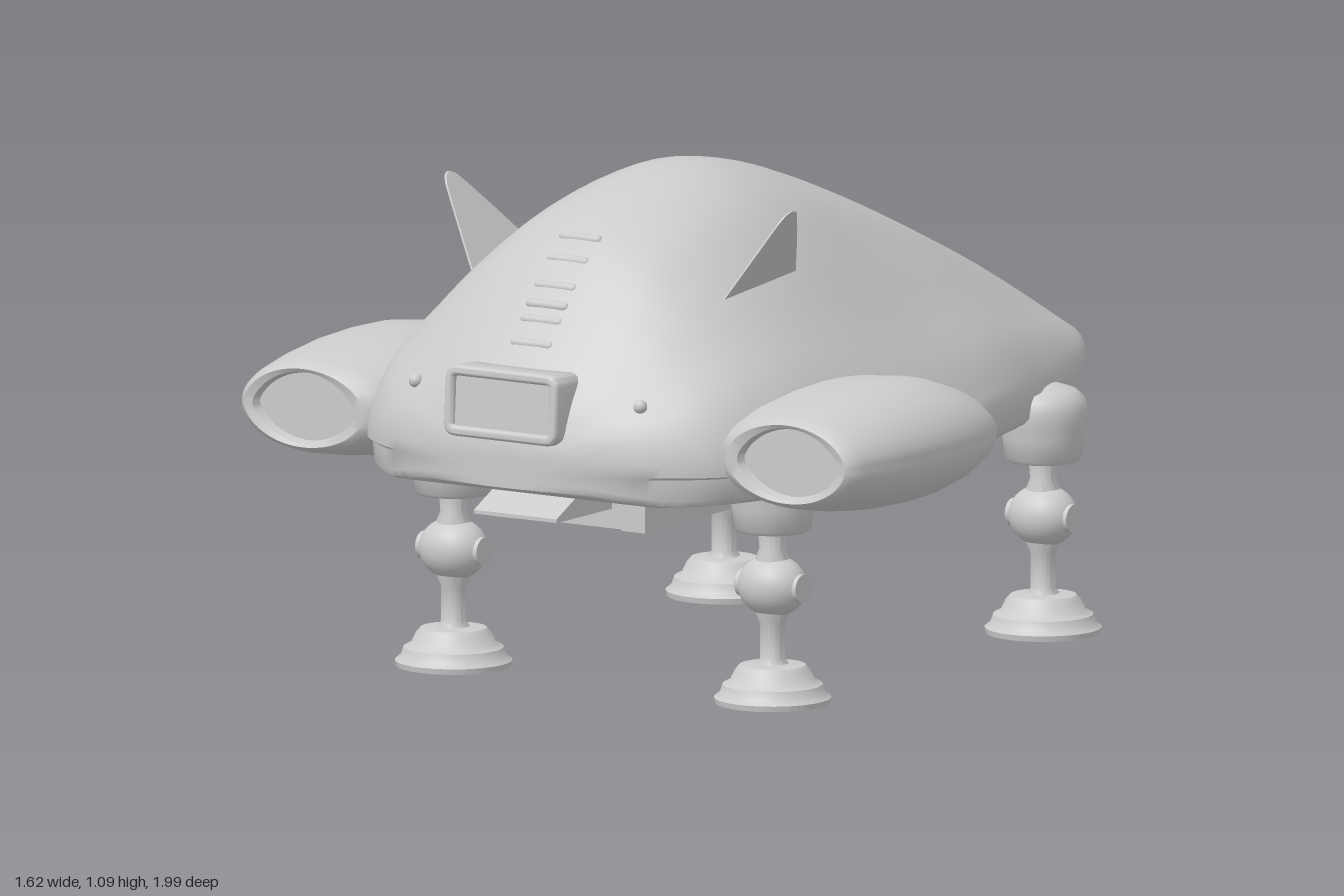
import * as THREE from 'three';
import { toCreasedNormals } from 'three/addons/utils/BufferGeometryUtils.js';

const { smoothstep } = THREE.MathUtils;
const grey = new THREE.MeshStandardMaterial({ color: 0xcccccc });
const thin = new THREE.MeshStandardMaterial({ color: 0xcccccc, side: THREE.DoubleSide });

function add(parent, name, geometry, x = 0, y = 0, z = 0, material = grey) {
  const mesh = new THREE.Mesh(geometry, material);
  mesh.name = name;
  mesh.position.set(x, y, z);
  parent.add(mesh);
  return mesh;
}

// Skin over closed counter-clockwise loops ordered along +z, capped at both ends
function loft(loops, crease = 0.7) {
  const n = loops[0].length, pos = [], idx = [];
  loops.forEach(loop => loop.forEach(p => pos.push(...p)));
  for (let i = 0; i < loops.length - 1; i++) {
    for (let j = 0; j < n; j++) {
      const a = i * n + j, b = i * n + (j + 1) % n;
      idx.push(a, b, a + n, b, b + n, a + n);
    }
  }
  for (const end of [0, loops.length - 1]) {
    const centre = pos.length / 3, mid = [0, 0, 0];
    loops[end].forEach(p => p.forEach((v, k) => { mid[k] += v / n; }));
    pos.push(...mid);
    for (let j = 0; j < n; j++) {
      const a = end * n + j, b = end * n + (j + 1) % n;
      if (end) idx.push(centre, a, b); else idx.push(centre, b, a);
    }
  }
  const g = new THREE.BufferGeometry();
  g.setAttribute('position', new THREE.Float32BufferAttribute(pos, 3));
  g.setIndex(idx);
  return toCreasedNormals(g, crease);
}

// Hull outline: half width, roof height, z
const hullLine = new THREE.CatmullRomCurve3([
  [0.08, 0.56, -1], [0.15, 0.585, -0.96], [0.21, 0.615, -0.9], [0.285, 0.67, -0.8],
  [0.375, 0.77, -0.6], [0.44, 0.86, -0.4], [0.495, 0.945, -0.2], [0.535, 1.02, 0],
  [0.558, 1.067, 0.16], [0.565, 1.085, 0.3], [0.56, 1.067, 0.45], [0.54, 1.02, 0.6],
  [0.51, 0.965, 0.7], [0.47, 0.875, 0.79], [0.42, 0.80, 0.85], [0.33, 0.725, 0.91],
  [0.24, 0.67, 0.945], [0.14, 0.61, 0.97], [0.05, 0.57, 0.98],
].map(p => new THREE.Vector3(...p)));

// Bell-shaped upper section from rim to rim: fraction of width, fraction of height
const bellSide = [[0.98, 0.025], [0.88, 0.2], [0.71, 0.42], [0.54, 0.65], [0.36, 0.855], [0.17, 0.97]];
const bell = new THREE.SplineCurve(
  [...bellSide, [0, 1], ...bellSide.slice().reverse().map(([u, v]) => [-u, v])].map(p => new THREE.Vector2(...p)),
).getPoints(48);

function hullGeometry() {
  const loops = hullLine.getPoints(90).map(({ x: w, y: top, z }) => {
    const low = 0.456 + 0.045 * smoothstep(-z, 0.75, 1) + 0.025 * smoothstep(z, 0.88, 0.98);
    // sections grow rounder towards nose and tail
    const fullness = 1 - 0.38 * smoothstep(z, 0.15, 0.85) - 0.25 * smoothstep(-z, -0.15, 0.4);
    const rim = [[0.45, low], [0.88, low], [0.935, low + 0.004], [0.96, low + 0.016],
      [0.97, 0.518], [0.998, 0.523], [1, 0.546]];
    return [
      ...rim,
      ...bell.map(p => [p.x, 0.55 + p.y ** fullness * (top - 0.55)]),
      ...rim.reverse().map(([u, y]) => [-u, y]),
    ].map(([u, y]) => [u * w, y, z]);
  });
  return loft(loops);
}

// Pod sections: z, half width, half height, how pointed the sides are, how far the inner side swells
function podGeometry(s) {
  return loft([
    [0.2, 0.08, 0.025, 0, 0], [0.205, 0.105, 0.045, 0, 0.1], [0.225, 0.135, 0.068, 0, 0.2],
    [0.27, 0.162, 0.095, 0, 0.25], [0.34, 0.182, 0.118, 0, 0.25], [0.42, 0.193, 0.13, 0, 0.25],
    [0.5, 0.196, 0.132, 0, 0.25], [0.6, 0.193, 0.128, 0, 0.22], [0.7, 0.184, 0.116, 0, 0.18],
    [0.78, 0.17, 0.101, 0, 0.12], [0.81, 0.16, 0.092, 0, 0.08], [0.82, 0.148, 0.084, 0.1, 0.04],
    [0.815, 0.13, 0.077, 0.35, 0], [0.795, 0.124, 0.072, 0.35, 0],
  ].map(([z, rx, ry, point, swell]) => Array.from({ length: 48 }, (_, i) => {
    const a = (i + 0.5) / 48 * Math.PI * 2, c = Math.cos(a), sn = Math.sin(a);
    const inner = c * s < 0 ? swell : 0;
    return [rx * c * (1 + inner), ry * sn * Math.abs(sn) ** (point - 1.4 * inner), z];
  })));
}

function lathe(points) {
  return toCreasedNormals(new THREE.LatheGeometry(points.map(p => new THREE.Vector2(...p)), 40), 0.7);
}

// Landing leg: stepped foot, strut, ball joint and a socket rounding into the hull
function makeLeg(name, x, z) {
  const leg = new THREE.Group();
  leg.name = name;
  leg.position.set(x, 0, z);
  add(leg, 'foot', lathe([[0, 0], [0.122, 0], [0.124, 0.012], [0.112, 0.022], [0.106, 0.04],
    [0.09, 0.048], [0.08, 0.07], [0.07, 0.081], [0.045, 0.084], [0, 0.084]]));
  add(leg, 'strut', lathe([[0.036, 0.08], [0.027, 0.095], [0.027, 0.17], [0.036, 0.19], [0.036, 0.31],
    [0.028, 0.33], [0.032, 0.38]]));
  add(leg, 'ballJoint', new THREE.SphereGeometry(0.066, 32, 20), 0, 0.25, 0).scale.x = 1.17;
  add(leg, 'jointPin', new THREE.CylinderGeometry(0.03, 0.03, 0.156, 28), 0, 0.25, 0).rotation.z = Math.PI / 2;
  add(leg, 'socket', lathe([[0, 0.368], [0.074, 0.368], [0.082, 0.376], [0.087, 0.42], [0.092, 0.45],
    [0.094, 0.48], [0.088, 0.503], [0.07, 0.52], [0.04, 0.53], [0, 0.533]]));
  return leg;
}

function roundedRect(shape, w, h, r) {
  const x = w / 2, y = h / 2;
  shape.moveTo(-x + r, -y);
  shape.lineTo(x - r, -y); shape.quadraticCurveTo(x, -y, x, -y + r);
  shape.lineTo(x, y - r); shape.quadraticCurveTo(x, y, x - r, y);
  shape.lineTo(-x + r, y); shape.quadraticCurveTo(-x, y, -x, y - r);
  shape.lineTo(-x, -y + r); shape.quadraticCurveTo(-x, -y, -x + r, -y);
  return shape;
}

export function createModel() {
  const model = new THREE.Group();
  model.name = 'landerCraft';
  add(model, 'hull', hullGeometry());

  // Nose window: bevelled frame with a recessed pane
  const frame = roundedRect(new THREE.Shape(), 0.27, 0.135, 0.02);
  frame.holes.push(roundedRect(new THREE.Path(), 0.258, 0.122, 0.016));
  const frameGeometry = new THREE.ExtrudeGeometry(frame, {
    depth: 0.08, bevelThickness: 0.01, bevelSize: 0.008, bevelSegments: 3, curveSegments: 6 });
  add(model, 'windowFrame', toCreasedNormals(frameGeometry, 0.7), 0, 0.652, 0.9).rotation.x = -0.06;
  add(model, 'windowPane', new THREE.BoxGeometry(0.255, 0.12, 0.08), 0, 0.65, 0.936).rotation.x = -0.06;

  // Low vent slats climbing the nose
  const roof = hullLine.getPoints(300);
  for (const y of [0.775, 0.82, 0.85, 0.885, 0.935, 0.975]) {
    const p = roof.find(q => q.z > 0.4 && q.y < y);
    const slat = add(model, 'ventSlat', new THREE.CapsuleGeometry(0.011, 0.085, 6, 12), 0, y - 0.004, p.z - 0.007);
    slat.rotation.z = Math.PI / 2;
  }

  for (const s of [-1, 1]) {
    const side = s > 0 ? 'left' : 'right';
    add(model, side + 'EnginePod', podGeometry(s), s * 0.615, 0.567, 0);

    // Thin leaning fin: drawn along z and height, then sheared outwards
    const outline = new THREE.Shape();
    outline.moveTo(0.618, 0.862);
    outline.lineTo(0.565, 1.02);
    outline.quadraticCurveTo(0.548, 1.062, 0.515, 1.045);
    outline.quadraticCurveTo(0.49, 1.025, 0.375, 0.89);
    const fin = new THREE.ExtrudeGeometry(outline, { depth: 0.005, bevelEnabled: false });
    const p = fin.attributes.position;
    for (let i = 0; i < p.count; i++) {
      const z = p.getX(i), y = p.getY(i);
      p.setXYZ(i, s * (0.322 + (y - 0.87) * 0.62 + p.getZ(i)), y, z);
    }
    fin.computeVertexNormals();
    add(model, side + 'Fin', fin, 0, 0, 0, thin);

    model.add(makeLeg(side + 'FrontLeg', s * 0.405, 0.56));
    model.add(makeLeg(side + 'RearLeg', s * 0.405, -0.464));

    // Keel rail, closing in towards the tail
    const rail = [[-0.98, 0.085], [0.73, 0.165]].map(([z, x]) => {
      const loop = [[x * s - 0.03, 0.365], [x * s + 0.03, 0.365], [x * s + 0.03, 0.51], [x * s - 0.03, 0.51]];
      return loop.map(([a, b]) => [a, b, z]);
    });
    add(model, side + 'KeelRail', loft(rail));

    // Small lamps on the nose and under the hull
    const lamp = new THREE.SphereGeometry(0.015, 16, 12);
    add(model, side + 'NoseLamp', lamp, s * 0.285, 0.668, 0.882);
    add(model, side + 'FrontBellyLamp', lamp, s * 0.29, 0.462, 0.84).scale.set(2, 0.8, 1.3);
    add(model, side + 'RearBellyLamp', lamp, s * 0.24, 0.46, -0.7).scale.set(1.3, 0.8, 2);
  }

  // Front cross bar and boarding ramp beneath the nose
  add(model, 'keelCrossBar', new THREE.BoxGeometry(0.3, 0.1, 0.04), 0, 0.416, 0.7);
  const ramp = new THREE.Shape();
  [[0.93, 0.408], [0.93, 0.416], [0.83, 0.465], [0.7, 0.465], [0.7, 0.408]].forEach(([z, y], i) =>
    (i ? ramp.lineTo(-z, y) : ramp.moveTo(-z, y)));
  const rampGeometry = new THREE.ExtrudeGeometry(ramp, { depth: 0.21, bevelEnabled: false });
  add(model, 'ramp', rampGeometry, -0.105, 0, 0).rotation.y = Math.PI / 2;
  return model;
}
